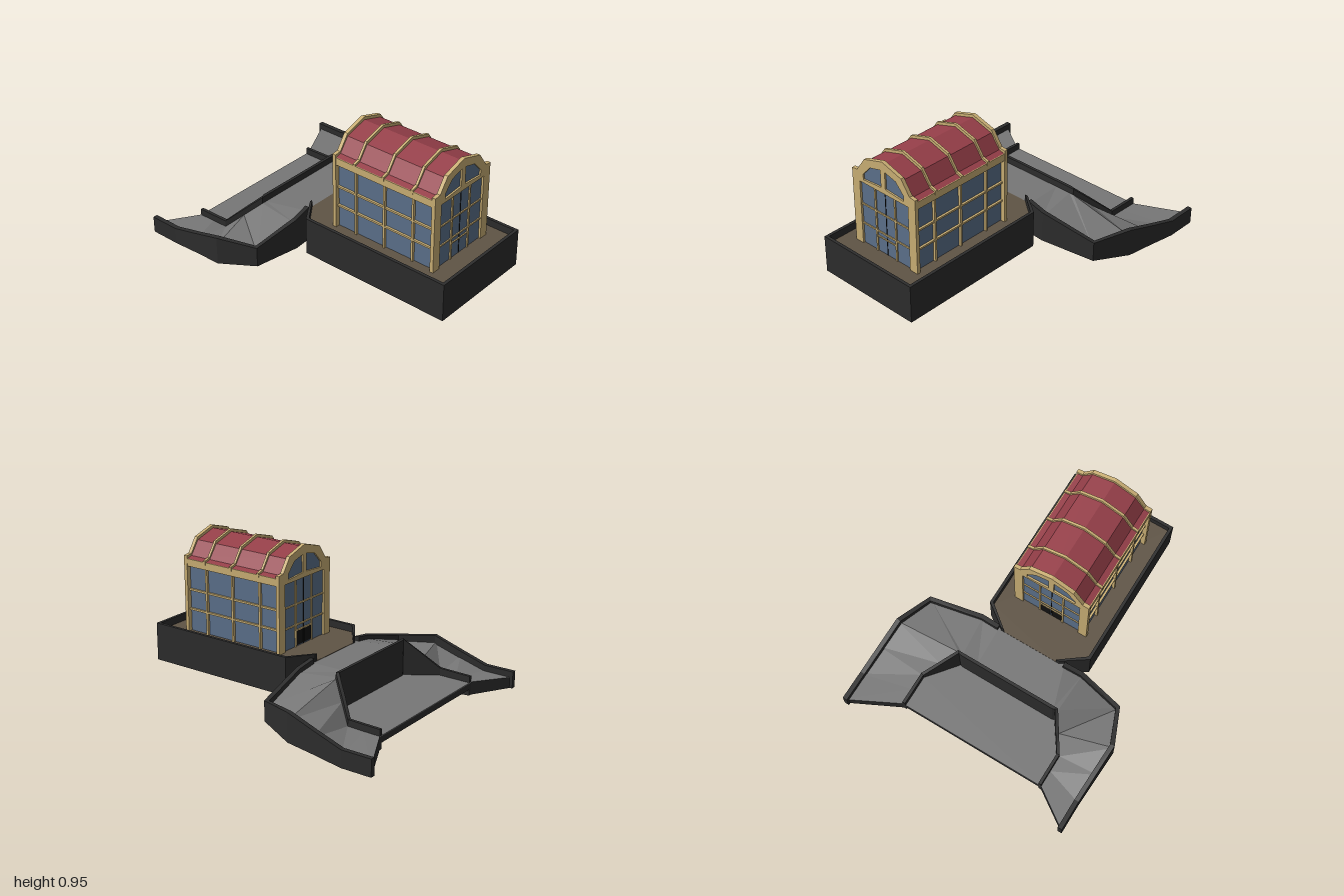
import * as THREE from 'three';

const mat = (name, color, side = THREE.FrontSide) => {
  const m = new THREE.MeshStandardMaterial({ color, side });
  m.name = name;
  return m;
};

export function createModel() {
  const stone = mat('dark stone', 0x2d2d2d);
  const paving = mat('grey paving', 0x777777);
  const earth = mat('brown floor', 0x5f5445);
  const glass = mat('blue glass', 0x5c718c);
  const timber = mat('cream timber', 0xcbb075);
  const tiles = mat('red roof', 0x963f49);
  const black = mat('black', 0x111111);

  const model = new THREE.Group();
  const add = (name, geometry, material, parent = model) => {
    const m = new THREE.Mesh(geometry, material);
    m.name = name;
    parent.add(m);
    return m;
  };
  const toShape = (pts) => new THREE.Shape(pts.map(([a, b]) => new THREE.Vector2(a, b)));

  // Horizontal slab from an [x, z] outline
  const slab = (pts, y0, y1) => {
    const g = new THREE.ExtrudeGeometry(toShape(pts.map(([x, z]) => [x, -z])), { depth: y1 - y0, bevelEnabled: false });
    return g.rotateX(-Math.PI / 2).translate(0, y0, 0);
  };

  // Closed loft through four-cornered sections; group 0 is the top face
  const loft = (sections) => {
    const top = [], rest = [];
    const quad = (out, a, b, c, d) => out.push(...a, ...b, ...c, ...a, ...c, ...d);
    for (let s = 0; s < sections.length - 1; s++) {
      const a = sections[s], b = sections[s + 1];
      for (let i = 0; i < 4; i++) {
        const j = (i + 1) % 4;
        quad(i === 0 ? top : rest, a[i], a[j], b[j], b[i]);
      }
    }
    quad(rest, ...[...sections[0]].reverse());
    quad(rest, ...sections[sections.length - 1]);
    const g = new THREE.BufferGeometry();
    g.setAttribute('position', new THREE.Float32BufferAttribute([...top, ...rest], 3));
    g.addGroup(0, top.length / 3, 0);
    g.addGroup(top.length / 3, rest.length / 3, 1);
    g.computeVertexNormals();
    return g;
  };

  // Terrace: dark base, brown floor and a rim open towards the ramp
  const outline = [[-0.15, -0.17], [-0.04, -0.32], [1, -0.32], [1, 0.41], [-0.04, 0.41], [-0.15, 0.25]];
  const inside = [[-0.15, 0.23], [-0.03, 0.39], [0.98, 0.39], [0.98, -0.3], [-0.03, -0.3], [-0.15, -0.15]];
  add('terraceBase', slab(outline, 0.1, 0.297), stone);
  add('terraceFloor', slab(inside, 0.297, 0.303), earth);
  add('terraceRim', slab([...outline, ...inside], 0.297, 0.35), stone);

  // Ramp stations: outer x, z back, z front, floor, kerb top, bottom; inner x, z back, z front, floor, bottom
  const stations = [
    [-1, -0.815, 0.785, 0.1, 0.14, 0.03, -0.83, -0.48, 0.535, 0.105, 0.02],
    [-0.8, -0.815, 0.785, 0.1, 0.14, 0.03, -0.72, -0.48, 0.535, 0.107, 0.012],
    [-0.6, -0.8, 0.795, 0.15, 0.195, 0.05, -0.61, -0.48, 0.535, 0.11, 0],
    [-0.41, -0.785, 0.805, 0.2, 0.25, 0.065, -0.51, -0.4, 0.468, 0.205, 0.03],
    [-0.17, -0.69, 0.705, 0.19, 0.23, 0.1, -0.41, -0.32, 0.4, 0.3, 0.06],
    [-0.12, -0.32, 0.41, 0.275, 0.305, 0.1, -0.41, -0.29, 0.37, 0.3, 0.06],
    [-0.13, -0.19, 0.28, 0.3, 0.33, 0.1, -0.41, -0.18, 0.26, 0.3, 0.06],
  ];
  const side = (front) => stations.map(([ox, zb, zf, floor, kerb, low, ix, izb, izf, iFloor, iLow]) => ({
    o: [ox, front ? zf : zb], floor, kerb, low, i: [ix, front ? izf : izb], iFloor, iLow,
  }));
  const back = side(false), front = side(true).reverse();
  const ring = [...back, ...front];

  add('rampRoad', loft(ring.map((s) => [
    [s.o[0], s.floor, s.o[1]], [s.i[0], s.iFloor, s.i[1]],
    [s.i[0], s.iLow, s.i[1]], [s.o[0], s.low, s.o[1]],
  ])), [paving, stone]);

  // Kerb of a given width, offset to the inner side of a path of [x, z, top, bottom]
  const kerb = (path, width) => loft(path.map(([x, z, top, low], k) => {
    const p = path[Math.max(k - 1, 0)], q = path[Math.min(k + 1, path.length - 1)];
    const dx = q[0] - p[0], dz = q[1] - p[1], len = Math.hypot(dx, dz);
    const x2 = x - dz / len * width, z2 = z + dx / len * width;
    return [[x, top, z], [x2, top, z2], [x2, low, z2], [x, low, z]];
  }));
  const outerPath = (list) => list.map((s) => [...s.o, s.kerb, s.low]);
  add('outerKerbBack', kerb(outerPath(back), 0.03), [stone, stone]);
  add('outerKerbFront', kerb(outerPath(front), 0.03), [stone, stone]);
  add('innerKerb', kerb(ring.map((s) => [...s.i, s.iFloor + 0.042, s.iLow]), 0.02), [stone, stone]);

  // Sunken court between the ramp arms
  const court = [[-0.83, -0.48], [-0.61, -0.48], [-0.41, -0.32], [-0.41, 0.4], [-0.61, 0.535], [-0.83, 0.535]];
  add('courtBase', slab(court, 0.06, 0.1), stone);
  add('courtFloor', slab(court, 0.1, 0.105), paving);

  // Glass hall, built about its own centre line
  const hall = new THREE.Group();
  hall.name = 'glassHall';
  hall.position.z = 0.045;
  model.add(hall);
  const box = (name, x0, x1, y0, y1, z0, z1, material) => add(name,
    new THREE.BoxGeometry(x1 - x0, y1 - y0, z1 - z0).translate((x0 + x1) / 2, (y0 + y1) / 2, (z0 + z1) / 2), material, hall);
  // Cross-section in [z, y] drawn out along x
  const along = (name, shape, x0, x1, material) => add(name,
    new THREE.ExtrudeGeometry(shape, { depth: x1 - x0, bevelEnabled: false }).rotateY(Math.PI / 2).translate(x0, 0, 0), material, hall);
  const mirrored = (half) => [...half, ...half.filter(([z]) => z !== 0).reverse().map(([z, y]) => [-z, y])];

  box('glassWalls', 0.1, 0.828, 0.3, 0.77, -0.23, 0.23, glass);
  along('roof', toShape(mirrored([[-0.255, 0.77], [-0.255, 0.785], [-0.215, 0.797], [-0.15, 0.885], [0, 0.93]])), 0.1, 0.826, tiles);

  // Roof ribs and wall posts
  const rib = mirrored([[-0.26, 0.77], [-0.26, 0.797], [-0.217, 0.81], [-0.152, 0.903], [0, 0.949]]);
  for (const x of [0.25, 0.465, 0.675]) {
    along('roofRib', toShape(rib), x - 0.008, x + 0.008, timber);
    for (const s of [-1, 1]) box('wallPost', x - 0.007, x + 0.007, 0.3, 0.75, s * 0.235 - 0.012, s * 0.235 + 0.012, timber);
  }
  for (const s of [-1, 1]) {
    box('eavesBeam', 0.1, 0.828, 0.738, 0.786, s * 0.238 - 0.02, s * 0.238 + 0.02, timber);
    for (const y of [0.45, 0.58]) box('wallRail', 0.1, 0.828, y - 0.006, y + 0.006, s * 0.234 - 0.01, s * 0.234 + 0.01, timber);
  }

  // Gable frames with arched windows and glazed doors
  const gable = [[-0.26, 0.3], [-0.26, 0.805], [-0.217, 0.81], [-0.152, 0.903], [0, 0.949]];
  const opening = [[0.2, 0.3], [0.2, 0.738], [-0.2, 0.738], [-0.2, 0.3]];
  const pane = [[0.018, 0.772], [0.167, 0.76], [0.167, 0.797], [0.105, 0.865], [0.018, 0.888]];
  const panes = [pane, pane.map(([z, y]) => [-z, y]).reverse()];
  for (const s of [-1, 1]) {
    const x = s < 0 ? 0.098 : 0.83;
    const shape = toShape([...mirrored(gable), ...opening]);
    shape.holes = panes.map((p) => new THREE.Path(p.map(([a, b]) => new THREE.Vector2(a, b))));
    along('gableFrame', shape, x - 0.012, x + 0.012, timber);
    const face = s < 0 ? 0.1 : 0.828;
    for (const p of panes) along('archWindow', toShape(p), face - 0.003, face + 0.003, glass);
    for (const z of [-0.082, 0.082]) box('doorPost', face - 0.008, face + 0.008, 0.3, 0.74, z - 0.006, z + 0.006, timber);
    for (const y of [0.445, 0.58]) box('doorRail', face - 0.007, face + 0.007, y - 0.005, y + 0.005, -0.2, 0.2, timber);
    box('doorKickRail', face - 0.007, face + 0.007, 0.405, 0.413, -0.082, 0.082, timber);
    box('doorGap', face - 0.003, face + 0.003, 0.3, 0.738, -0.002, 0.002, black);
  }
  for (const z of [-0.041, 0.041]) box('doorOpening', 0.096, 0.102, 0.31, 0.403, z - 0.034, z + 0.034, black);

  return model;
}
